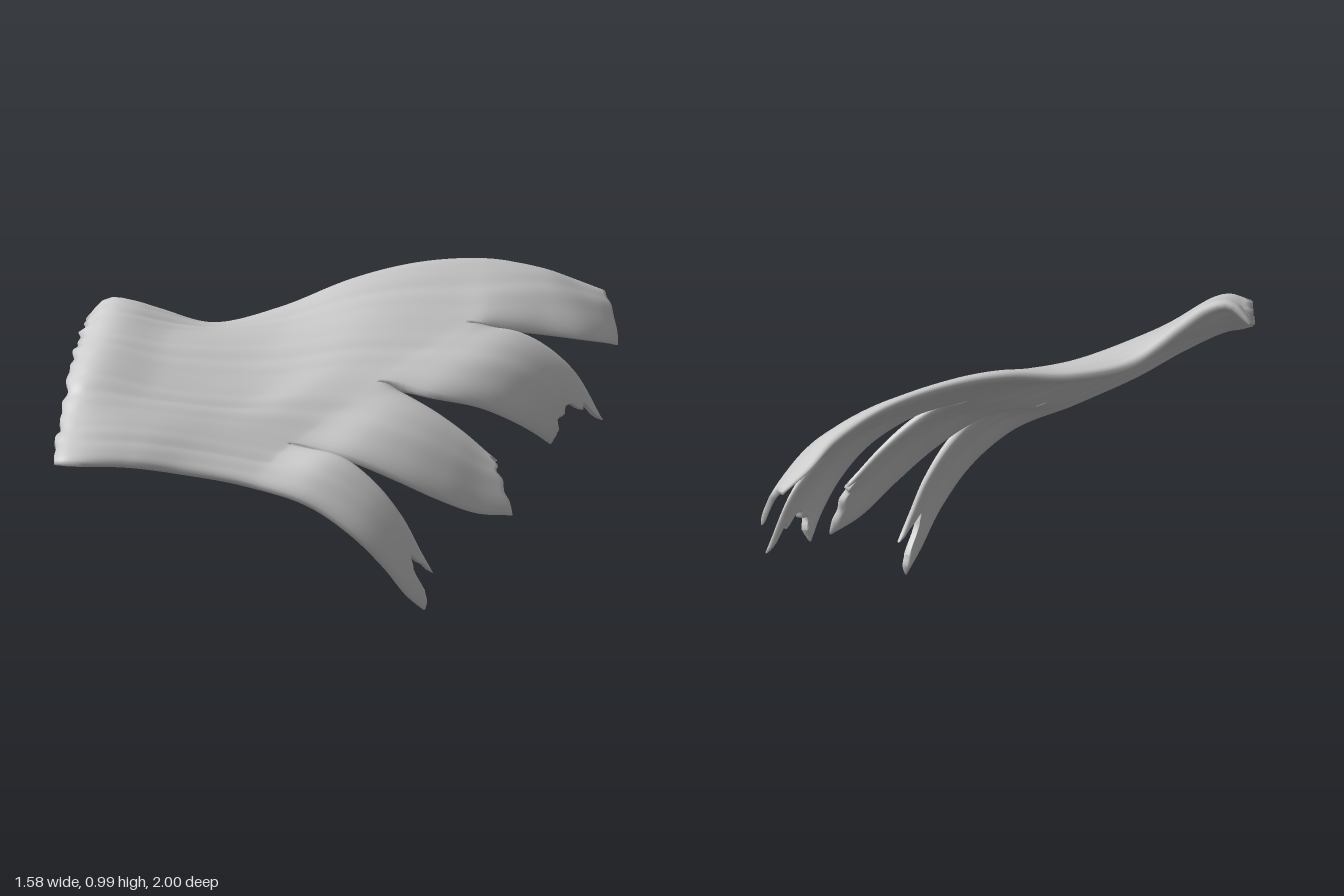
import * as THREE from 'three';

const V = (p) => new THREE.Vector3(...p);
const smooth = (a, b, x) => THREE.MathUtils.smoothstep(x, a, b);
const NOTCH = 0.65; // fraction of the way from root to tip where the strips part

// Outer edges of the cloth, root to tip
const backEdge = [[-0.775, 0.91, 0.21], [-0.71, 0.975, 0.205], [-0.64, 0.965, 0.185], [-0.55, 0.92, 0.12], [-0.4, 0.84, -0.01],
  [-0.2, 0.86, -0.19], [0, 0.92, -0.35], [0.2, 0.94, -0.515], [0.4, 0.915, -0.675], [0.55, 0.85, -0.81], [0.63, 0.79, -0.92], [0.715, 0.735, -1]];
const frontEdge = [[-0.77, 0.635, 0.995], [-0.69, 0.63, 0.98], [-0.55, 0.6, 0.865], [-0.4, 0.55, 0.74], [-0.2, 0.49, 0.635],
  [0, 0.415, 0.58], [0.14, 0.305, 0.53], [0.24, 0.175, 0.455], [0.3, 0.065, 0.38], [0.345, 0, 0.31]];

// Seams running from the root to the notches between the strips
const seams = [
  [[-0.775, 0.885, 0.42], [-0.69, 0.92, 0.38], [-0.5, 0.86, 0.24], [-0.2, 0.815, 0.03], [0.1, 0.83, -0.15], [0.4, 0.78, -0.34]],
  [[-0.775, 0.84, 0.61], [-0.69, 0.86, 0.58], [-0.5, 0.785, 0.48], [-0.2, 0.715, 0.3], [0, 0.715, 0.18], [0.17, 0.69, 0.09]],
  [[-0.775, 0.725, 0.81], [-0.69, 0.735, 0.77], [-0.5, 0.695, 0.66], [-0.3, 0.635, 0.54], [-0.08, 0.565, 0.43]],
];

// Free edges beyond each notch: the strip behind it and the strip in front of it
const freeEdges = [
  { behind: [[0.59, 0.71, -0.54], [0.71, 0.66, -0.67], [0.77, 0.615, -0.8], [0.788, 0.585, -0.885]],
    ahead: [[0.55, 0.73, -0.45], [0.69, 0.59, -0.56], [0.78, 0.4, -0.635]] },
  { behind: [[0.32, 0.645, 0.04], [0.46, 0.585, -0.08], [0.55, 0.51, -0.2], [0.61, 0.43, -0.33], [0.64, 0.37, -0.43]],
    ahead: [[0.29, 0.63, 0.065], [0.42, 0.53, 0.02], [0.53, 0.42, -0.025]] },
  { behind: [[0.1, 0.52, 0.39], [0.25, 0.44, 0.32], [0.38, 0.35, 0.22], [0.49, 0.275, 0.1], [0.585, 0.245, 0]],
    ahead: [[0.08, 0.54, 0.42], [0.19, 0.45, 0.39], [0.28, 0.32, 0.35], [0.33, 0.21, 0.32], [0.37, 0.12, 0.285]] },
];

const curve = (pts) => new THREE.CatmullRomCurve3(pts.map(V));

// Position along an edge for u in 0..1, with the notch level at NOTCH
const along = (web, webEnd, full, freeStart) => (u) => (u < NOTCH
  ? web.getPointAt(webEnd * u / NOTCH)
  : full.getPointAt(freeStart + (1 - freeStart) * (u - NOTCH) / (1 - NOTCH)));

function outerRail(pts, f) {
  const c = curve(pts);
  return { at: along(c, f, c, f), outer: true };
}

function seamRail(seam, free) {
  const web = curve(seam), full = curve([...seam, ...free]);
  const lengths = full.getLengths(20 * (seam.length + free.length - 1));
  const start = lengths[20 * (seam.length - 1)] / lengths[lengths.length - 1];
  full.updateArcLengths();
  return { at: along(web, 1, full, start), outer: false };
}

// Thin strip between two rails, its slope shared with its neighbours up to the notch
function strip(name, a, b, prev, next, bulge, tear, material) {
  const NU = 90, NV = 24, R = 2 * (NV + 1);
  const torn = (v) => {
    const f = v * (tear.length - 1), i = Math.min(Math.floor(f), tear.length - 2);
    return THREE.MathUtils.lerp(tear[i], tear[i + 1], smooth(0, 1, f - i));
  };
  const sheet = (u0, v) => {
    const u = u0 - torn(v) * Math.pow(u0, 14);
    const pa = a.at(u), pb = b.at(u), across = pb.clone().sub(pa);
    const split = smooth(NOTCH, NOTCH + 0.2, u);
    const ma = prev ? pb.clone().sub(prev.at(u)).multiplyScalar(0.5).lerp(across, split) : across;
    const mb = next ? next.at(u).sub(pa).multiplyScalar(0.5).lerp(across, split) : across;
    const v2 = v * v, v3 = v2 * v;
    const p = pa.multiplyScalar(2 * v3 - 3 * v2 + 1).addScaledVector(pb, 3 * v2 - 2 * v3)
      .addScaledVector(ma, v3 - 2 * v2 + v).addScaledVector(mb, v3 - v2);
    const arch = Math.sin(Math.PI * v);
    p.y += bulge * smooth(NOTCH - 0.05, NOTCH + 0.2, u) * arch;
    p.y += 0.002 * Math.sin(v * 19 + 4 * u) * arch * arch;
    // Crumpled lip along the root
    p.x += (0.004 * Math.sin(p.z * 47) + 0.004 * Math.sin(p.z * 83)) * (1 - smooth(0, 0.06, u));
    return p;
  };
  const pos = [], index = [], e = 0.003;
  for (let i = 0; i <= NU; i++) {
    const u = i / NU, top = [], bottom = [];
    const free = smooth(NOTCH, NOTCH + 0.05, u);
    for (let j = 0; j <= NV; j++) {
      const v = j / NV, p = sheet(u, v);
      const du = sheet(Math.min(u + e, 1), v).sub(sheet(Math.max(u - e, 0), v));
      const dv = sheet(u, Math.min(v + e, 1)).sub(sheet(u, Math.max(v - e, 0)));
      const n = dv.cross(du).normalize();
      // Rounded rim on free edges, full thickness along seams
      const side = (v < 0.5 ? a : b).outer ? 1 : free;
      const rim = 1 - 0.7 * side * Math.pow(Math.abs(2 * v - 1), 8);
      const h = 0.02 * rim * (1 - 0.5 * smooth(0.75, 1, u)) * (0.6 + 0.4 * smooth(0, 0.04, u));
      top.push(p.clone().addScaledVector(n, h));
      bottom.unshift(p.clone().addScaledVector(n, -h));
    }
    [...top, ...bottom].forEach((p) => pos.push(p.x, Math.max(p.y, 0), p.z));
  }
  for (let i = 0; i < NU; i++) {
    const joined = (i + 1) / NU <= NOTCH;
    for (let k = 0; k < R; k++) {
      // No side wall where the strip is joined to its neighbour
      if (joined && ((k === NV && !b.outer) || (k === R - 1 && !a.outer))) continue;
      const p = i * R + k, q = i * R + (k + 1) % R;
      index.push(p, q, q + R, p, q + R, p + R);
    }
  }
  // End caps at root and tip
  const last = NU * R;
  for (let j = 0; j < NV; j++) {
    const t0 = j, t1 = j + 1, b0 = R - 1 - j, b1 = R - 2 - j;
    index.push(t0, b0, b1, t0, b1, t1);
    index.push(last + t0, last + b1, last + b0, last + t0, last + t1, last + b1);
  }
  const g = new THREE.BufferGeometry();
  g.setAttribute('position', new THREE.Float32BufferAttribute(pos, 3));
  g.setIndex(index);
  g.computeVertexNormals();
  const mesh = new THREE.Mesh(g, material);
  mesh.name = name;
  return mesh;
}

export function createModel() {
  const group = new THREE.Group();
  group.name = 'tatteredCloth';
  const material = new THREE.MeshStandardMaterial({ color: 0xcccccc, side: THREE.DoubleSide });
  const names = ['backStrip', 'upperMiddleStrip', 'lowerMiddleStrip', 'frontStrip'];
  const bulges = [0.04, 0.035, 0.035, 0.025];
  // How far each tip is torn back, from its back edge to its front edge
  const tears = [
    [0, 0, 0.006, 0, 0.002, 0, 0],
    [0, 0.005, 0.04, 0.025, 0.05, 0.05, 0.035, 0.04, 0.015, 0.008, 0],
    [0, 0.03, 0.012, 0.02, 0.008, 0.01, 0.002, 0],
    [0, 0.01, 0.035, 0.065, 0.05, 0.01, 0, 0],
  ];
  const backs = [outerRail(backEdge, 0.74), ...seams.map((s, i) => seamRail(s, freeEdges[i].ahead))];
  const fronts = [...seams.map((s, i) => seamRail(s, freeEdges[i].behind)), outerRail(frontEdge, 0.47)];
  names.forEach((name, i) => {
    group.add(strip(name, backs[i], fronts[i], backs[i - 1], fronts[i + 1], bulges[i], tears[i], material));
  });
  return group;
}
